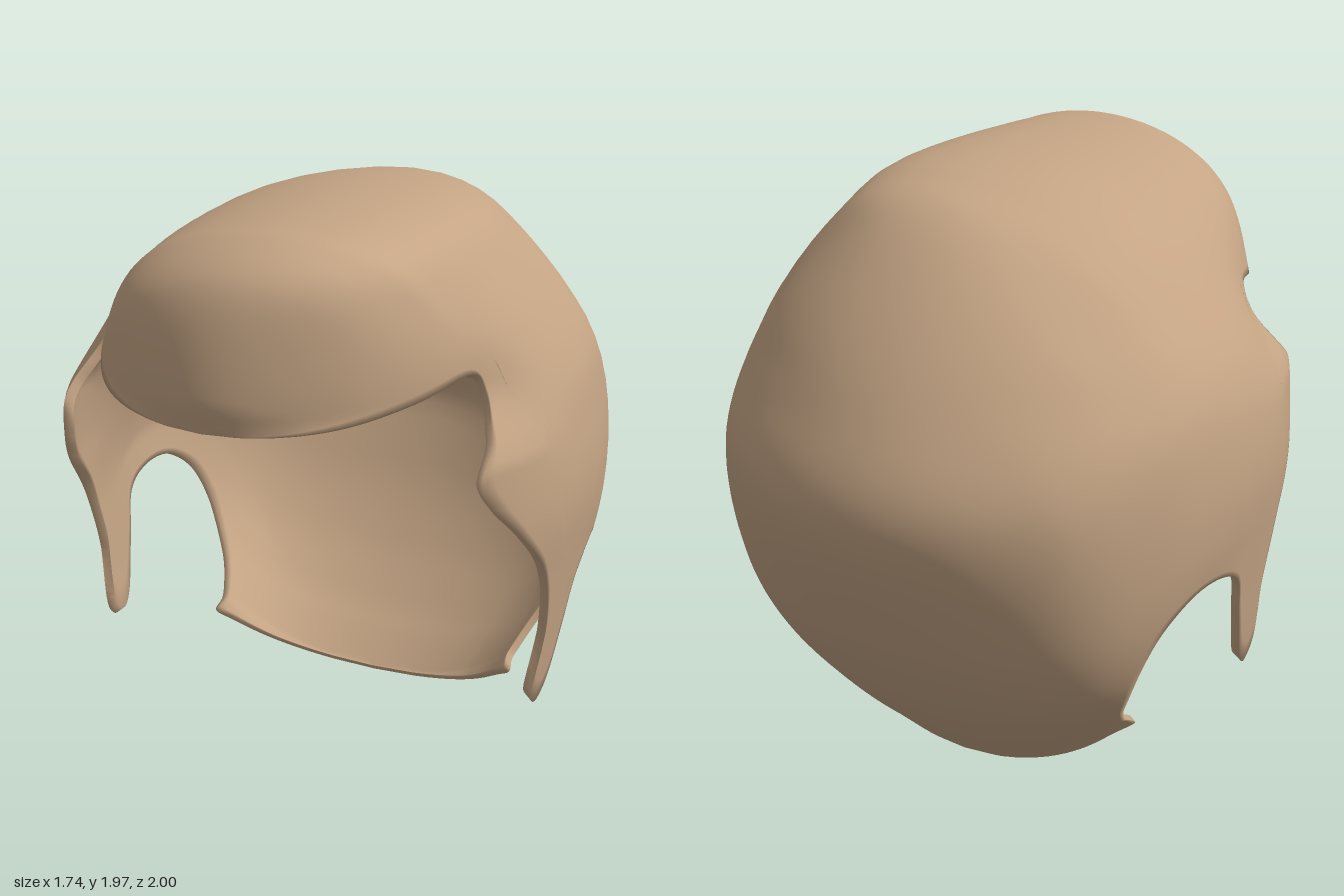
import * as THREE from 'three';

// Side outlines as [z, y], station by station from the fringe over the crown to the nape.
const EDGE = [[.985, 1.447], [.9, 1.463], [.67, 1.5], [.43, 1.525], [.41, 1.45], [.47, 1.35], [.555, 1.245],
  [.51, 1.14], [.41, 1.02], [.27, .845], [.2, .6], [.22, .37], [.165, .325], [.11, .36], [.03, .55], [-.03, .71],
  [-.14, .765], [-.29, .755], [-.41, .66], [-.44, .52], [-.38, .36], [-.275, .25], [-.2, .2], [-.225, .16],
  [-.28, .09], [-.355, 0]];
const MIDDLE = [[.985, 1.447], [.93, 1.53], [.75, 1.65], [.48, 1.64], [.36, 1.55], [.32, 1.42], [.29, 1.3],
  [.25, 1.18], [.22, 1.05], [.2, .92], [.18, .85], [.15, .82], [.12, .81], [.09, .81], [.05, .82], [-.02, .85],
  [-.14, .88], [-.35, .88], [-.55, .78], [-.6, .58], [-.5, .38], [-.38, .26], [-.3, .2], [-.31, .145],
  [-.32, .09], [-.355, 0]];
const CROWN = [[.985, 1.447], [.997, 1.56], [.912, 1.86], [.75, 1.957], [.6, 1.966], [.46, 1.968], [.35, 1.9685],
  [.25, 1.968], [.18, 1.967], [.12, 1.9655], [.08, 1.964], [.04, 1.962], [0, 1.96], [-.05, 1.956], [-.12, 1.949],
  [-.24, 1.931], [-.42, 1.88], [-.64, 1.69], [-.88, 1.37], [-1, 1.07], [-.86, .64], [-.7, .37], [-.58, .22],
  [-.52, .155], [-.46, .1], [-.355, 0]];
// Imagined face outline that closes the crown line, for the width rule
const FACE = [[-.355, 0], [-.1, -.13], [.4, 0], [.8, .5], [.955, 1.1], [.985, 1.447]];

const curve = pts => new THREE.CatmullRomCurve3(pts.map(([z, y]) => new THREE.Vector3(0, y, z)));
const smooth = THREE.MathUtils.smoothstep, mix = THREE.MathUtils.lerp;

// Smooth interpolation through [position, value] pairs
function table(rows) {
  const slope = i => {
    const a = rows[Math.max(i - 1, 0)], b = rows[Math.min(i + 1, rows.length - 1)];
    return (b[1] - a[1]) / (b[0] - a[0]);
  };
  return p => {
    if (p <= rows[0][0]) return rows[0][1];
    for (let i = 0; i < rows.length - 1; i++) {
      const [x0, y0] = rows[i], [x1, y1] = rows[i + 1];
      if (p > x1) continue;
      const h = x1 - x0, t = (p - x0) / h, t2 = t * t, t3 = t2 * t;
      return y0 * (2 * t3 - 3 * t2 + 1) + slope(i) * h * (t3 - 2 * t2 + t)
        + y1 * (3 * t2 - 2 * t3) + slope(i + 1) * h * (t3 - t2);
    }
    return rows[rows.length - 1][1];
  };
}

const WIDE = .87;
const upper = [[.8, .845], [1.05, .87], [1.32, .83], [1.45, .78], [1.56, .705], [1.72, .605], [1.81, .56],
  [1.92, .53], [1.97, .52]];
const widthFront = table([[.33, .79], [.6, .82], ...upper]);
const widthBack = table([[0, .49], [.2, .585], [.5, .75], ...upper]);
const rear = [[-1, .47], [-.87, .575], [-.74, .675], [-.5, .785], [-.34, .835], [-.1, .87]];
const depthLow = table([...rear, [.05, .87], [.2, .855], [.4, .79], [.56, .71]]);
const depthHigh = table([...rear, [.05, .86], [.2, .8], [.43, .64], [.6, .56], [.8, .46], [.9, .39], [1, .3]]);
const lean = table([[1.3, 0], [1.45, .015], [1.56, .03], [1.72, .05], [1.81, .075], [1.92, .13], [1.97, .16]]);

// Distance from the centre (z 0, y 1) to the crown outline in a given direction
const outline = [...curve(CROWN).getPoints(1000), ...curve(FACE).getPoints(150)]
  .map(p => [Math.atan2(p.y - 1, p.z), Math.hypot(p.y - 1, p.z)]).sort((a, b) => a[0] - b[0]);
function reach(angle) {
  const i = outline.findIndex(o => o[0] > angle);
  if (i < 1) return outline[0][1];
  const [a, b] = [outline[i - 1], outline[i]];
  return mix(a[1], b[1], (angle - a[0]) / (b[0] - a[0]));
}

// Half width of the hair at a point of the side view; the upper back is less boxy
function halfWidth(z, y) {
  const s = Math.hypot(z, y - 1) / reach(Math.atan2(y - 1, z));
  const wy = mix(widthBack(y), widthFront(y), smooth(z, -.25, 0)) / WIDE;
  const wz = mix(depthLow(z), depthHigh(z), smooth(y, 1.25, 1.5)) / WIDE;
  const w = Math.pow(Math.max(wy ** -6 + wz ** -6 - 1, 1), -1 / 6);
  const power = 8 - 3.5 * smooth(y, 1.1, 1.45) * (1 - smooth(z, -.5, 0));
  return WIDE * w * Math.sqrt(Math.max(0, 1 - s ** power));
}

// Inner face: thin at the nape, filled in behind the fringe, rounded like a head at the upper back
function inner([x, y, z]) {
  const thin = (1 - smooth(y, .3, 1)) * (1 - smooth(z, -.2, .05));
  const k = mix(.965, .985, thin), front = mix(.6, .43, smooth(y, 1.25, 1.45));
  const p = new THREE.Vector3(x * k, 1 + (y - 1) * k, Math.min(z * k, front));
  const room = Math.max(.02, halfWidth(p.z, p.y) - .03), shift = lean(p.y);
  p.x = THREE.MathUtils.clamp(p.x, shift - room, shift + room);
  const head = new THREE.Vector3(0, .8, -.12);
  const d = p.clone().sub(head);
  const size = Math.hypot(d.x / .83, d.y / .9, d.z / .81);
  const fade = smooth(p.y, .75, 1) * (1 - smooth(p.z, -.1, .4));
  return head.addScaledVector(d, mix(1, 1 / Math.max(size, 1), fade)).toArray();
}

function hairGeometry() {
  const ROWS = 200, N = 26;
  const [edge, middle, crown] = [EDGE, MIDDLE, CROWN].map(curve);
  const positions = [], index = [];
  for (let i = 0; i <= ROWS; i++) {
    const u = i / ROWS, e = edge.getPoint(u), m = middle.getPoint(u), c = crown.getPoint(u);
    const outer = [];
    for (let j = -N; j <= N; j++) {
      const q = Math.pow(Math.abs(j) / N, 1.7);
      const p = q < .6 ? c.clone().lerp(m, q / .6) : m.clone().lerp(e, (q - .6) / .4);
      // The middle line and both ends of the strip lie on the centre plane
      const x = j === 0 || i === 0 || i === ROWS ? 0 : Math.sign(j) * halfWidth(p.z, p.y);
      outer.push([x + lean(p.y), p.y, p.z]);
    }
    // Closed loop: outside from right to left, then back along the inside
    positions.push(...outer.flat(), ...outer.map(inner).reverse().flat());
  }
  const L = 2 * (2 * N + 1);
  for (let i = 0; i < ROWS; i++) {
    for (let j = 0; j < L; j++) {
      const a = i * L + j, b = i * L + (j + 1) % L;
      index.push(a, b, a + L, b, b + L, a + L);
    }
  }
  const g = new THREE.BufferGeometry();
  g.setAttribute('position', new THREE.Float32BufferAttribute(positions, 3));
  g.setIndex(index);
  g.computeVertexNormals();
  return g;
}

export function createModel() {
  const group = new THREE.Group();
  group.name = 'hairpiece';
  const hair = new THREE.Mesh(hairGeometry(),
    new THREE.MeshStandardMaterial({ color: 0xc4a484, side: THREE.DoubleSide }));
  hair.name = 'hair';
  group.add(hair);
  return group;
}
